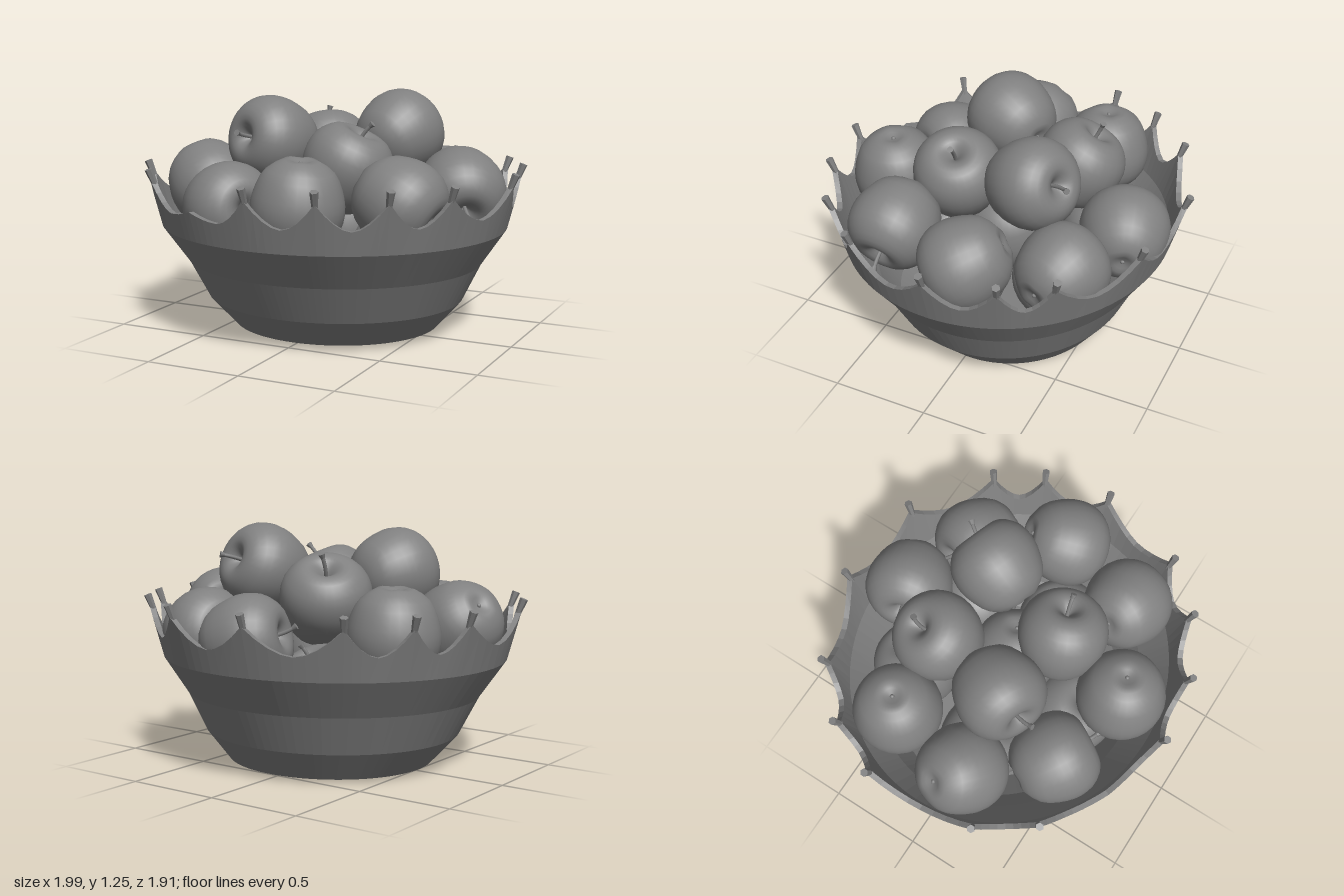
import * as THREE from 'three';

const mat = new THREE.MeshStandardMaterial({ color: 0x808080 });
const flat = new THREE.MeshStandardMaterial({ color: 0x808080, flatShading: true });
const UP = new THREE.Vector3(0, 1, 0);

// Angles (degrees, from +x towards +z) of the pointed tips around the rim
const TIPS = [0, 30.5, 50, 70.5, 91, 113, 137, 157, 194, 213, 233, 262, 291.5, 320.5, 337.5];
const LOW_TIP = 113; // the one blunt tip, without a nub
const STEPS = 8;

// Point on the bowl's slightly oval cross-section
function oval(a, y, rx, rz, cz) {
  return [0.005 + rx * Math.cos(a), y, cz + rz * Math.sin(a)];
}

// Bowl wall: outer rings up, scalloped rim, inner rings down
function bowlGeometry() {
  const columns = [];
  TIPS.forEach((start, k) => {
    const end = k + 1 < TIPS.length ? TIPS[k + 1] : 360;
    for (let s = 0; s < STEPS; s++) {
      const t = s / STEPS;
      const edge = Math.abs(2 * t - 1);
      const low = (t < 0.5 ? start : end) === LOW_TIP;
      columns.push({
        a: THREE.MathUtils.degToRad(start + (end - start) * t),
        y: 0.68 + (low ? 0.035 : 0.135) * Math.pow(edge, 1.8),
      });
    }
  });
  // y, x radius, z radius, z centre
  const rings = [
    [0, 0, 0, -0.04], [0, 0.3, 0.28, -0.04], [0.02, 0.55, 0.51, -0.045],
    [0.17, 0.685, 0.63, -0.03], [0.37, 0.785, 0.73, -0.02], [0.56, 0.915, 0.86, -0.01],
  ];
  const wall = 0.028;
  const pos = [], index = [];
  for (const { a, y } of columns) {
    const grow = (y - 0.68) * 0.3;
    const rim = [y, 0.945 + grow, 0.89 + grow, -0.01];
    const inner = rings.slice(2).reverse().map(([h, rx, rz, cz], i, list) =>
      [i === list.length - 1 ? 0.05 : h, rx - wall, rz - wall, cz]);
    const loop = [...rings, rim, [y, rim[1] - wall, rim[2] - wall, -0.01], ...inner, [0.05, 0, 0, -0.04]];
    loop.forEach(([h, rx, rz, cz]) => pos.push(...oval(a, h, rx, rz, cz)));
  }
  const n = columns.length, m = pos.length / 3 / n;
  for (let j = 0; j < n; j++) {
    for (let i = 0; i < m - 1; i++) {
      const p = j * m + i, q = ((j + 1) % n) * m + i;
      index.push(p, p + 1, q, q, p + 1, q + 1);
    }
  }
  const g = new THREE.BufferGeometry();
  g.setAttribute('position', new THREE.Float32BufferAttribute(pos, 3));
  g.setIndex(index);
  g.computeVertexNormals();
  return g;
}

// Small nub flaring out of each tip
function makeNub(deg) {
  const a = THREE.MathUtils.degToRad(deg);
  const from = new THREE.Vector3(...oval(a, 0.785, 0.96, 0.905, -0.01));
  const to = new THREE.Vector3(...oval(a, 0.875, 0.995, 0.94, -0.01));
  const dir = to.clone().sub(from);
  const nub = new THREE.Mesh(new THREE.CylinderGeometry(0.021, 0.014, dir.length(), 6), flat);
  nub.position.copy(from).add(to).multiplyScalar(0.5);
  nub.quaternion.setFromUnitVectors(UP, dir.normalize());
  nub.name = 'rimNub';
  return nub;
}

// Fruit body: smooth lathe with a stem dimple and a shallow, faintly lobed base
function fruitGeometry() {
  const profile = [
    [0, -0.195], [0.03, -0.202], [0.085, -0.213], [0.172, -0.155], [0.218, -0.055],
    [0.231, 0.035], [0.21, 0.122], [0.15, 0.188], [0.085, 0.202], [0.035, 0.17], [0, 0.125],
  ].map(([x, y]) => new THREE.Vector2(x, y));
  const pts = new THREE.SplineCurve(profile).getPoints(24);
  pts.forEach((p) => { p.x = Math.max(p.x, 0); });
  pts[0].x = pts[pts.length - 1].x = 0;
  const g = new THREE.LatheGeometry(pts, 30);
  const p = g.attributes.position;
  for (let i = 0; i < p.count; i++) {
    const x = p.getX(i), y = p.getY(i), z = p.getZ(i);
    const low = THREE.MathUtils.smoothstep(-y, 0.08, 0.2);
    const r = Math.hypot(x, z);
    p.setY(i, y - 0.003 * low * Math.cos(5 * Math.atan2(z, x)) * Math.min(r / 0.08, 1));
  }
  return g;
}

// Thin curved stem
function stemGeometry() {
  const path = new THREE.QuadraticBezierCurve3(
    new THREE.Vector3(0, 0.11, 0), new THREE.Vector3(0, 0.2, 0), new THREE.Vector3(0.025, 0.255, 0));
  return new THREE.TubeGeometry(path, 6, 0.01, 7);
}

// Centre, then direction in which the stem end points
const FRUIT = [
  // top heap
  [[-0.285, 0.99, 0.11], [-0.4, 0.18, 0.9]],
  [[0.27, 1.01, -0.25], [0.3, 0.35, -0.88]],
  [[0.175, 0.88, 0.2], [0.4, 0.9, -0.1]],
  [[-0.17, 0.88, -0.32], [-0.3, 0.87, -0.4]],
  // ring against the rim
  [[-0.57, 0.755, -0.32], [0.05, -1, 0.02]],
  [[0.055, 0.7, -0.67], [-0.9, 0.2, 0.3]],
  [[0.465, 0.69, -0.5], [-0.9, 0.2, -0.3]],
  [[0.68, 0.76, -0.09], [0.45, -0.45, 0.75]],
  [[-0.665, 0.745, 0.13], [0.75, -0.6, 0.3]],
  [[-0.35, 0.69, 0.485], [0.85, 0.1, 0.5]],
  [[0.11, 0.76, 0.6], [-0.1, -1, -0.02]],
  [[0.54, 0.76, 0.37], [0.87, -0.45, 0.05]],
  // buried layer
  [[-0.24, 0.45, -0.44], [0.1, 0.9, -0.4]],
  [[0.25, 0.45, -0.4], [0.3, 0.9, 0.2]],
  [[0.06, 0.57, -0.02], [-0.3, -0.9, 0.1]],
  [[-0.4, 0.45, 0.08], [0.4, 0.8, 0.4]],
  [[0.39, 0.42, 0.08], [0.1, 0.95, -0.3]],
  [[0, 0.36, 0.38], [0.2, 0.9, 0.3]],
];

export function createModel() {
  const model = new THREE.Group();
  model.name = 'fruitBowl';

  const bowl = new THREE.Group();
  bowl.name = 'bowl';
  const wall = new THREE.Mesh(bowlGeometry(), flat);
  wall.name = 'scallopedWall';
  bowl.add(wall, ...TIPS.filter((d) => d !== LOW_TIP).map(makeNub));
  model.add(bowl);

  const bodyGeo = fruitGeometry(), stemGeo = stemGeometry();
  const calyxGeo = new THREE.SphereGeometry(0.012, 8, 6);
  const capGeo = new THREE.CylinderGeometry(0.017, 0.011, 0.022, 7);
  FRUIT.forEach(([at, dir], i) => {
    const fruit = new THREE.Group();
    fruit.name = 'apple' + (i + 1);
    const body = new THREE.Mesh(bodyGeo, mat);
    body.name = 'appleBody';
    const stem = new THREE.Mesh(stemGeo, mat);
    stem.name = 'appleStem';
    const cap = new THREE.Mesh(capGeo, mat);
    cap.name = 'stemEnd';
    cap.position.set(0.026, 0.257, 0);
    cap.rotation.z = -0.4;
    const calyx = new THREE.Mesh(calyxGeo, mat);
    calyx.name = 'appleCalyx';
    calyx.position.y = -0.197;
    fruit.add(body, stem, cap, calyx);
    fruit.position.set(...at);
    fruit.quaternion.setFromUnitVectors(UP, new THREE.Vector3(...dir).normalize());
    model.add(fruit);
  });
  return model;
}
